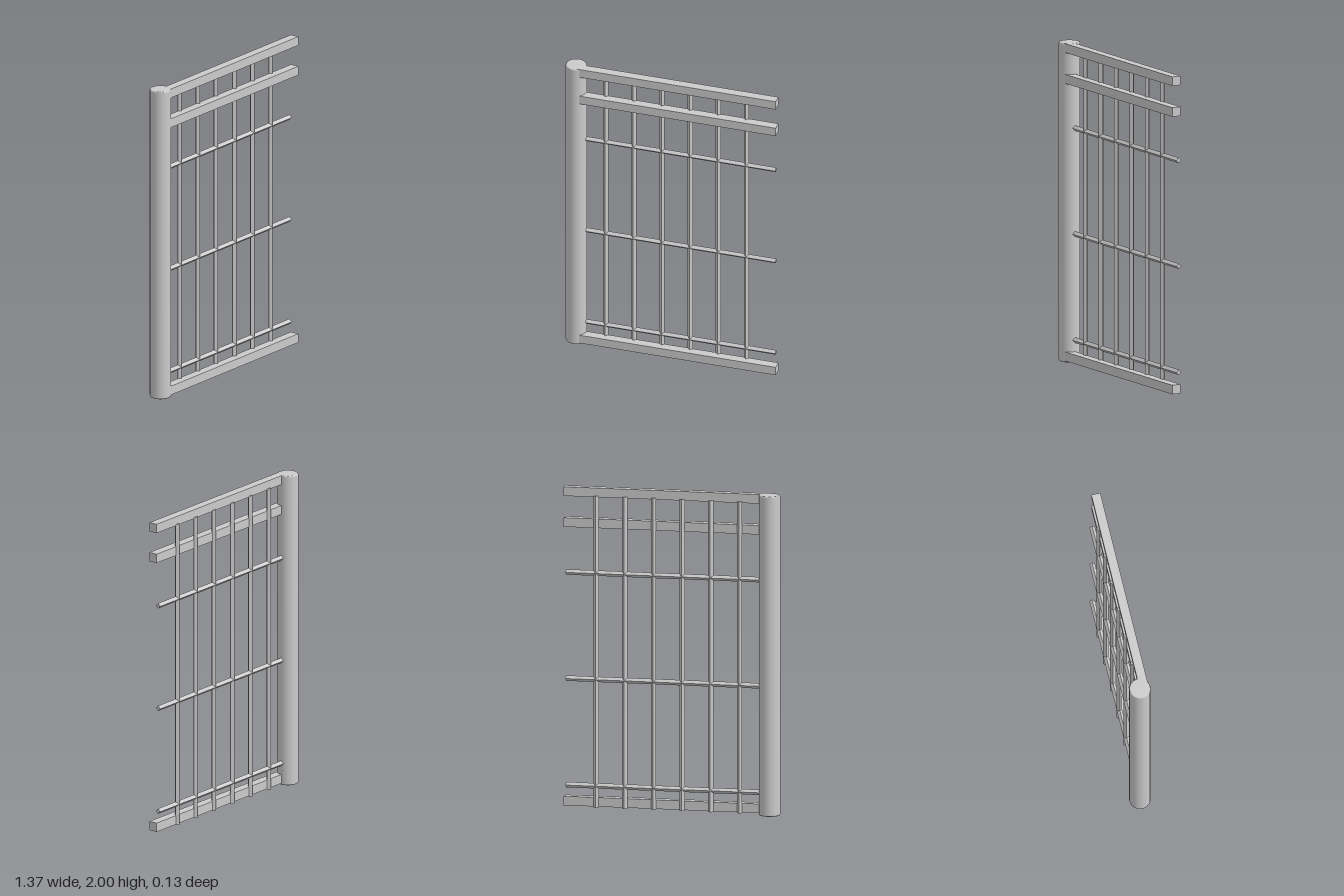
import * as THREE from 'three';

export function createModel() {
  const model = new THREE.Group();
  const smooth = new THREE.MeshStandardMaterial({ color: 0xcccccc });
  const flat = new THREE.MeshStandardMaterial({ color: 0xcccccc, flatShading: true });

  const add = (name, geometry, material, x, y, z) => {
    const mesh = new THREE.Mesh(geometry, material);
    mesh.name = name;
    mesh.position.set(x, y, z);
    model.add(mesh);
    return mesh;
  };

  // Round post with slightly softened rims
  const profile = [[0, 0], [0.059, 0], [0.064, 0.003], [0.066, 0.01],
    [0.066, 1.99], [0.064, 1.997], [0.059, 2], [0, 2]]
    .map(([r, y]) => new THREE.Vector2(r, y));
  add('post', new THREE.LatheGeometry(profile, 32), smooth, -0.617, 0, 0);

  // Square rails on the front of the bars
  const railLeft = -0.6, railRight = 0.683, railSize = 0.057;
  const rail = new THREE.BoxGeometry(railRight - railLeft, railSize, railSize);
  [['topRail', 1.971], ['upperRail', 1.778], ['bottomRail', 0.039]].forEach(([name, y]) =>
    add(name, rail, flat, (railLeft + railRight) / 2, y, 0.0275));

  // Thin diamond-section bars
  const barRadius = 0.017;
  const upright = new THREE.CylinderGeometry(barRadius, barRadius, 1.945, 4);
  for (let i = 0; i < 6; i++) {
    add(`verticalBar${i + 1}`, upright, flat, -0.427 + i * 0.181, 0.978, 0);
  }
  const crossbar = new THREE.CylinderGeometry(barRadius, barRadius, 1.222, 4).rotateZ(Math.PI / 2);
  [0.14, 0.805, 1.468].forEach((y, i) =>
    add(`horizontalBar${i + 1}`, crossbar, flat, 0.057, y, 0));

  return model;
}
